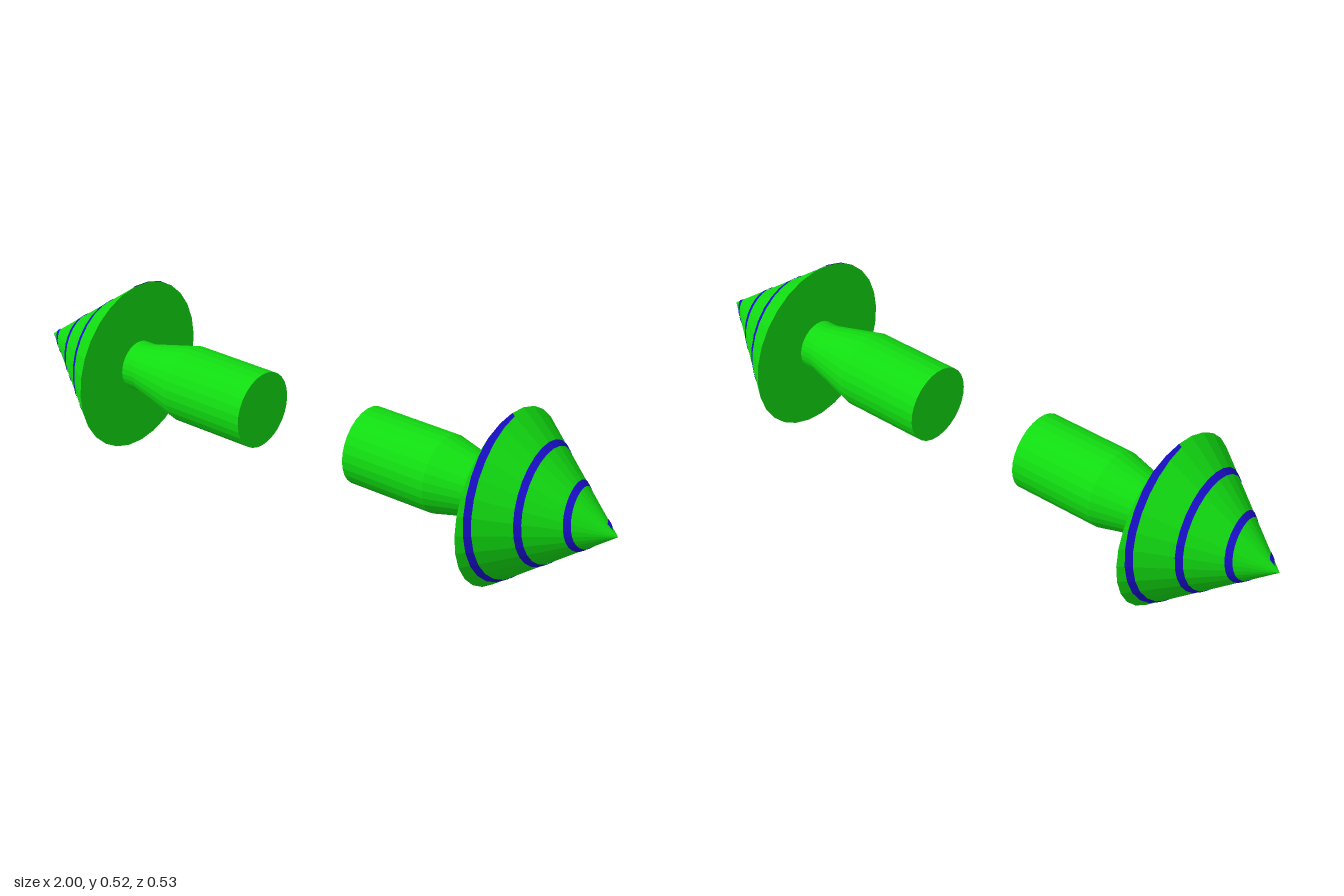
import * as THREE from 'three';

const SIDES = 28, CY = 0.258;
const TIP = 1, BASE = 0.655, R = 0.2575;

// Solid of revolution about the x axis from [x, radius] pairs
function turned(name, profile, material) {
  const points = profile.map(([x, r]) => new THREE.Vector2(r, x));
  const geometry = new THREE.LatheGeometry(points, SIDES).rotateZ(-Math.PI / 2);
  const mesh = new THREE.Mesh(geometry, material);
  mesh.name = name;
  return mesh;
}

// Thin band winding three turns over the cone from the rim to the tip
function spiralBand(material) {
  const turns = 3, steps = turns * SIDES * 2, half = 0.0065, lift = 0.0015;
  const facet = (2 * Math.PI) / SIDES;
  const positions = [], index = [];
  for (let i = 0; i <= steps; i++) {
    const t = (turns * i) / steps, a = t * 2 * Math.PI;
    const mid = R - 0.0793 * t;
    // follow the flat facets of the cone
    const flat = Math.cos(facet / 2) / Math.cos((a % facet) - facet / 2);
    for (const s of [-1, 1]) {
      const r = Math.min(R, mid + s * half);
      const radius = r * flat + lift * 0.8;
      const x = TIP - (r * (TIP - BASE)) / R + lift * 0.6;
      positions.push(x, Math.cos(a) * radius, Math.sin(a) * radius);
    }
    if (i < steps) {
      const k = i * 2;
      index.push(k, k + 1, k + 2, k + 1, k + 3, k + 2);
    }
  }
  const geometry = new THREE.BufferGeometry();
  geometry.setAttribute('position', new THREE.Float32BufferAttribute(positions, 3));
  geometry.setIndex(index);
  geometry.computeVertexNormals();
  const mesh = new THREE.Mesh(geometry, material);
  mesh.name = 'spiralBand';
  return mesh;
}

export function createModel() {
  const green = new THREE.MeshStandardMaterial({ color: 0x11dd11, flatShading: true });
  const blue = new THREE.MeshStandardMaterial({ color: 0x1a0fd0, flatShading: true, side: THREE.DoubleSide });
  const model = new THREE.Group();
  model.name = 'conePlugPair';

  // The second plug is the first one turned half way round
  ['leftPlug', 'rightPlug'].forEach((name, i) => {
    const plug = new THREE.Group();
    plug.name = name;
    plug.add(
      turned('coneHead', [[BASE, 0], [BASE, R], [TIP, 0]], green),
      turned('shaft', [[0.18, 0], [0.18, 0.115], [0.45, 0.115], [0.615, 0.074], [BASE + 0.005, 0.074]], green),
      spiralBand(blue)
    );
    plug.rotation.y = i * Math.PI;
    plug.position.set(0, CY, i ? 0.0075 : -0.0075);
    model.add(plug);
  });
  return model;
}
